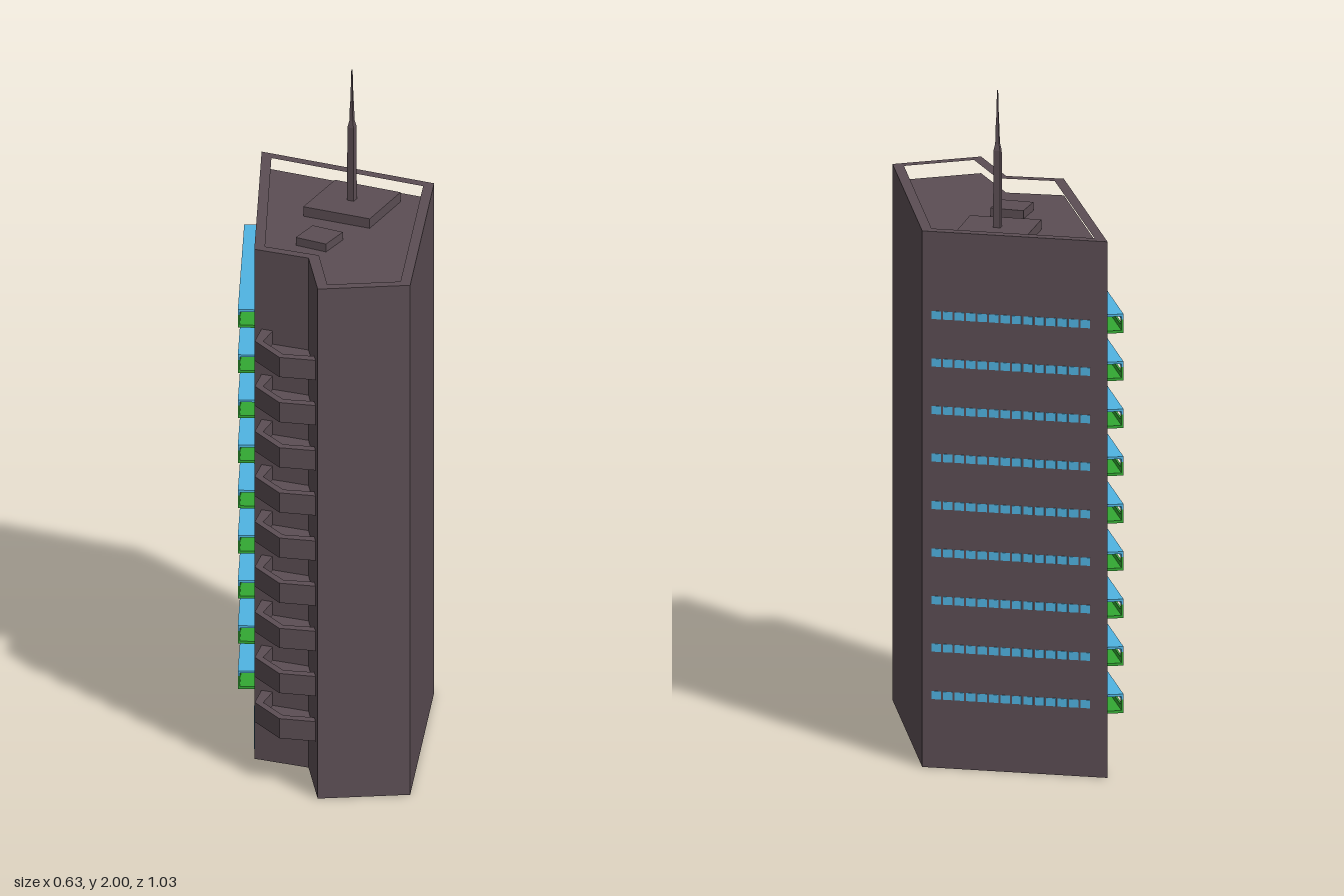
import * as THREE from 'three';

const mat = (color) => new THREE.MeshStandardMaterial({ color, flatShading: true });
const wallMat = mat(0x5c4e54);
const glassMat = mat(0x50b4e2);
const greenMat = mat(0x33a833);

function add(parent, name, geometry, material) {
  const mesh = new THREE.Mesh(geometry, material);
  mesh.name = name;
  parent.add(mesh);
  return mesh;
}

// Vertical prism from plan points [x, z], with an optional hole
function prism(points, y0, y1, hole) {
  const plan = (list) => list.map(([x, z]) => new THREE.Vector2(x, -z));
  const shape = new THREE.Shape(plan(points));
  if (hole) shape.holes.push(new THREE.Path(plan(hole)));
  const geometry = new THREE.ExtrudeGeometry(shape, { depth: y1 - y0, bevelEnabled: false });
  return geometry.rotateX(-Math.PI / 2).translate(0, y0, 0);
}

// Box given by its limits on each axis
function block(x0, x1, y0, y1, z0, z1) {
  return new THREE.BoxGeometry(x1 - x0, y1 - y0, z1 - z0)
    .translate((x0 + x1) / 2, (y0 + y1) / 2, (z0 + z1) / 2);
}

// Group whose x runs along a wall from one plan point to another, z outward
function wallFrame(name, [x0, z0], [x1, z1]) {
  const group = new THREE.Group();
  group.name = name;
  group.position.set(x0, 0, z0);
  group.rotation.y = Math.atan2(z0 - z1, x1 - x0);
  return group;
}

export function createModel() {
  const model = new THREE.Group();
  model.name = 'towerBlock';

  const roofY = 1.56, topY = 1.61;
  const outline = [[-0.14, -0.517], [0.314, -0.205], [0.12, 0.515],
    [-0.149, 0.497], [-0.137, 0.27], [-0.281, 0.18]];
  const inner = [[-0.12, -0.466], [0.279, -0.19], [0.097, 0.483],
    [-0.116, 0.469], [-0.104, 0.255], [-0.247, 0.166]];

  // Tower and roof parapet
  add(model, 'tower', prism(outline, 0, roofY), wallMat);
  add(model, 'parapet', prism(outline, roofY, topY, inner), wallMat);

  // Roof housings
  add(model, 'largeRoofHousing', prism([[0.043, -0.324], [0.215, -0.203],
    [0.094, -0.027], [-0.081, -0.147]], roofY, roofY + 0.03), wallMat);
  add(model, 'smallRoofHousing', prism([[-0.075, -0.02], [0.003, 0.043],
    [-0.06, 0.121], [-0.138, 0.058]], roofY, roofY + 0.025), wallMat);

  // Stepped four-sided mast
  const mast = new THREE.Group();
  mast.name = 'mast';
  mast.position.set(0.067, 0, -0.175);
  mast.rotation.y = 0.15;
  model.add(mast);
  [[1.57, 1.82, 0.015, 0.014], [1.82, 1.84, 0.014, 0.008],
    [1.84, 1.9, 0.008, 0.006], [1.9, 2, 0.005, 0.002]].forEach(([y0, y1, r0, r1], i) => {
    add(mast, `mastSection${i + 1}`,
      new THREE.CylinderGeometry(r1, r0, y1 - y0, 4).translate(0, (y0 + y1) / 2, 0), wallMat);
  });

  const rightWall = wallFrame('rightWall', outline[0], outline[5]);
  const backWall = wallFrame('backWall', outline[1], outline[0]);
  model.add(rightWall, backWall);

  // Tall ground-floor windows
  for (let i = 0; i < 4; i++) {
    const x = 0.042 + i * 0.167;
    add(rightWall, 'groundWindow', block(x, x + 0.124, 0.012, 0.142, -0.005, 0.002), glassMat);
  }

  const balconyOuter = [[-0.261, 0.19], [-0.296, 0.275], [-0.246, 0.404], [-0.143, 0.445]];
  const balconyInner = [[-0.232, 0.21], [-0.272, 0.28], [-0.231, 0.382], [-0.143, 0.413]];
  const x0 = 0.017, x1 = 0.637, depth = 0.05, bays = 5;

  for (let floor = 0; floor < 9; floor++) {
    const y = 0.218 + floor * 0.1427;

    // Canopy with a short lip over a green gallery
    add(rightWall, 'canopy', block(x0, x1, y + 0.02, y + 0.027, 0, depth), glassMat);
    add(rightWall, 'canopyLip', block(x0, x1, y + 0.01, y + 0.02, depth - 0.006, depth), glassMat);
    add(rightWall, 'galleryFloor', block(x0, x1, y - 0.03, y - 0.022, 0, depth), greenMat);
    add(rightWall, 'galleryRail', block(x0, x1, y - 0.022, y - 0.008, depth - 0.006, depth), greenMat);
    for (let i = 0; i <= bays; i++) {
      const x = x0 + 0.006 + (x1 - x0 - 0.012) * i / bays;
      add(rightWall, 'galleryPost',
        block(x - 0.006, x + 0.006, y - 0.008, y + 0.01, depth - 0.006, depth), greenMat);
    }

    // Row of small panes on the back wall
    for (let i = 0; i < 14; i++) {
      const x = 0.028 + i * 0.0341;
      add(backWall, 'backWindow', block(x, x + 0.028, y - 0.012, y + 0.012, -0.005, 0.002), glassMat);
    }

    // Angular corner balcony: floor slab and surrounding wall
    add(model, 'balconyFloor', prism([...balconyOuter, [-0.135, 0.268]], y - 0.06, y - 0.04), wallMat);
    add(model, 'balconyWall',
      prism([...balconyOuter, ...[...balconyInner].reverse()], y - 0.04, y + 0.002), wallMat);
  }
  return model;
}
